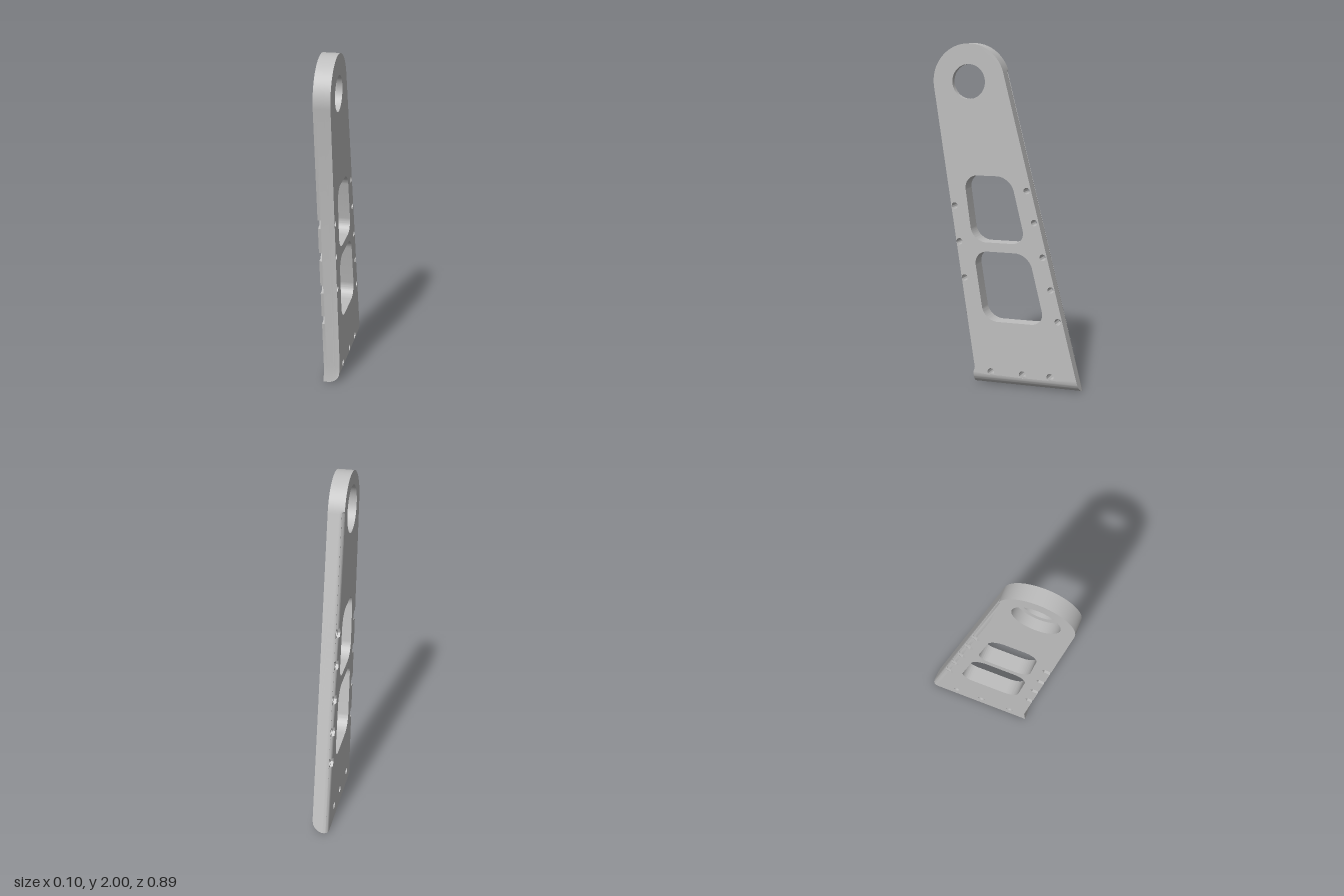
import * as THREE from 'three';
import { toCreasedNormals } from 'three/addons/utils/BufferGeometryUtils.js';

const V = (z, y) => new THREE.Vector2(-z, y); // profile plane: u = -z, v = y
const HALF = 0.048, EDGE_R = 0.03, FOOT_R = 0.07, HEAD_R = 0.217;
const head = V(0.23, 1.783);
const onHead = (a) => new THREE.Vector2(head.x + HEAD_R * Math.cos(a), head.y + HEAD_R * Math.sin(a));
const A0 = 0.2461, A1 = Math.PI + 0.147;
const footFront = V(0.208, 0), footBack = V(-0.444, 0), kink = V(0.2, 0.1);
const backTop = onHead(A0), frontTop = onHead(A1);

const backHoles = [[-0.313, 0.414], [-0.268, 0.597], [-0.22, 0.785], [-0.167, 0.984], [-0.122, 1.167]].map((p) => V(...p));
const frontHoles = [[0.321, 1.061], [0.292, 0.851], [0.26, 0.637], [0.231, 0.427]].map((p) => V(...p));
const footHoles = [[0.098, 0.08], [-0.098, 0.08], [-0.268, 0.08]].map((p) => V(...p));
const windows = [
  [V(0.211, 0.854), V(-0.118, 0.854), V(-0.024, 1.244), V(0.263, 1.244)],
  [V(0.14, 0.385), V(-0.236, 0.385), V(-0.135, 0.8), V(0.204, 0.8)],
];

function circle(c, r) {
  return new THREE.Path().absarc(c.x, c.y, r, 0, Math.PI * 2, true);
}

// Four-sided opening with rounded corners
function roundedQuad(corners, t) {
  const path = new THREE.Path();
  corners.forEach((c, i) => {
    const toward = (q, d) => c.clone().add(q.clone().sub(c).setLength(d));
    const prev = corners[(i + 3) % 4], next = corners[(i + 1) % 4];
    const p = toward(prev, t), q = toward(next, t), k = t * 0.45;
    const c1 = toward(prev, k), c2 = toward(next, k);
    if (i) path.lineTo(p.x, p.y); else path.moveTo(p.x, p.y);
    path.bezierCurveTo(c1.x, c1.y, c2.x, c2.y, q.x, q.y);
  });
  path.closePath();
  return path;
}

// Half-hexagon nut pockets opening through the straight edge a-b
function notchedEdge(shape, a, b, holes) {
  const d = b.clone().sub(a).normalize(), n = new THREE.Vector2(d.y, -d.x);
  for (const c of holes) {
    const out = a.clone().sub(c).dot(n);
    for (const [s, o] of [[-0.027, out], [-0.027, -0.0156], [0, -0.031], [0.027, -0.0156], [0.027, out]]) {
      const p = c.clone().addScaledVector(d, s).addScaledVector(n, o);
      shape.lineTo(p.x, p.y);
    }
  }
  shape.lineTo(b.x, b.y);
}

function profile(pockets, boreRadius) {
  const s = new THREE.Shape();
  s.moveTo(footFront.x, footFront.y);
  s.lineTo(footBack.x, footBack.y);
  notchedEdge(s, footBack, backTop, pockets ? backHoles : []);
  s.absarc(head.x, head.y, HEAD_R, A0, A1, false);
  notchedEdge(s, frontTop, kink, pockets ? frontHoles : []);
  s.closePath();
  s.holes.push(circle(head, boreRadius), ...windows.map((w) => roundedQuad(w, 0.085)));
  s.holes.push(...footHoles.map((c) => circle(c, 0.021)));
  if (!pockets) s.holes.push(...[...backHoles, ...frontHoles].map((c) => circle(c, 0.0186)));
  return s;
}

// One slab of the plate from x0 to x1, with the back edge and foot rounded over
function slab(shape, x0, x1, steps) {
  const geo = new THREE.ExtrudeGeometry(shape, { depth: x1 - x0, steps, bevelEnabled: false, curveSegments: 28 });
  geo.translate(0, 0, x0);
  const d = backTop.clone().sub(footBack).normalize(), n = new THREE.Vector2(d.y, -d.x);
  const pos = geo.attributes.position;
  const round = (r, t) => (t > 0 ? r - Math.sqrt(Math.max(0, r * r - t * t)) : 0);
  for (let i = 0; i < pos.count; i++) {
    let u = pos.getX(i), v = pos.getY(i);
    const x = pos.getZ(i);
    const isBack = Math.abs((u - footBack.x) * n.x + (v - footBack.y) * n.y) < 1e-4;
    if (v < 1e-4) {
      const lift = round(FOOT_R, x - HALF + FOOT_R);
      v += lift;
      if (isBack) u += (lift * d.x) / d.y;
    }
    if (isBack) u -= round(EDGE_R, EDGE_R - HALF - x) / n.x;
    pos.setXYZ(i, u, v, x);
  }
  // Smooth walls, flat caps
  const caps = geo.groups[0].count;
  const out = toCreasedNormals(geo, 0.6);
  for (let i = 0; i < caps; i++) {
    out.attributes.normal.setXYZ(i, 0, 0, out.attributes.position.getZ(i) > (x0 + x1) / 2 ? 1 : -1);
  }
  out.rotateY(Math.PI / 2);
  return out;
}

export function createModel() {
  const group = new THREE.Group();
  group.name = 'armPlate';
  const grey = new THREE.MeshStandardMaterial({ color: 0xbebebe });
  grey.name = 'grey';
  const add = (name, ...args) => {
    const mesh = new THREE.Mesh(slab(...args), grey);
    mesh.name = name;
    group.add(mesh);
  };
  add('pocketLayer', profile(true, 0.137), -HALF, -0.032, 6);   // nut pockets and counterbore
  add('middleLayer', profile(false, 0.137), -0.032, 0.015, 8);  // counterbore continues
  add('boreLipLayer', profile(false, 0.1), 0.015, HALF, 8);     // narrow bore and rounded foot
  return group;
}
